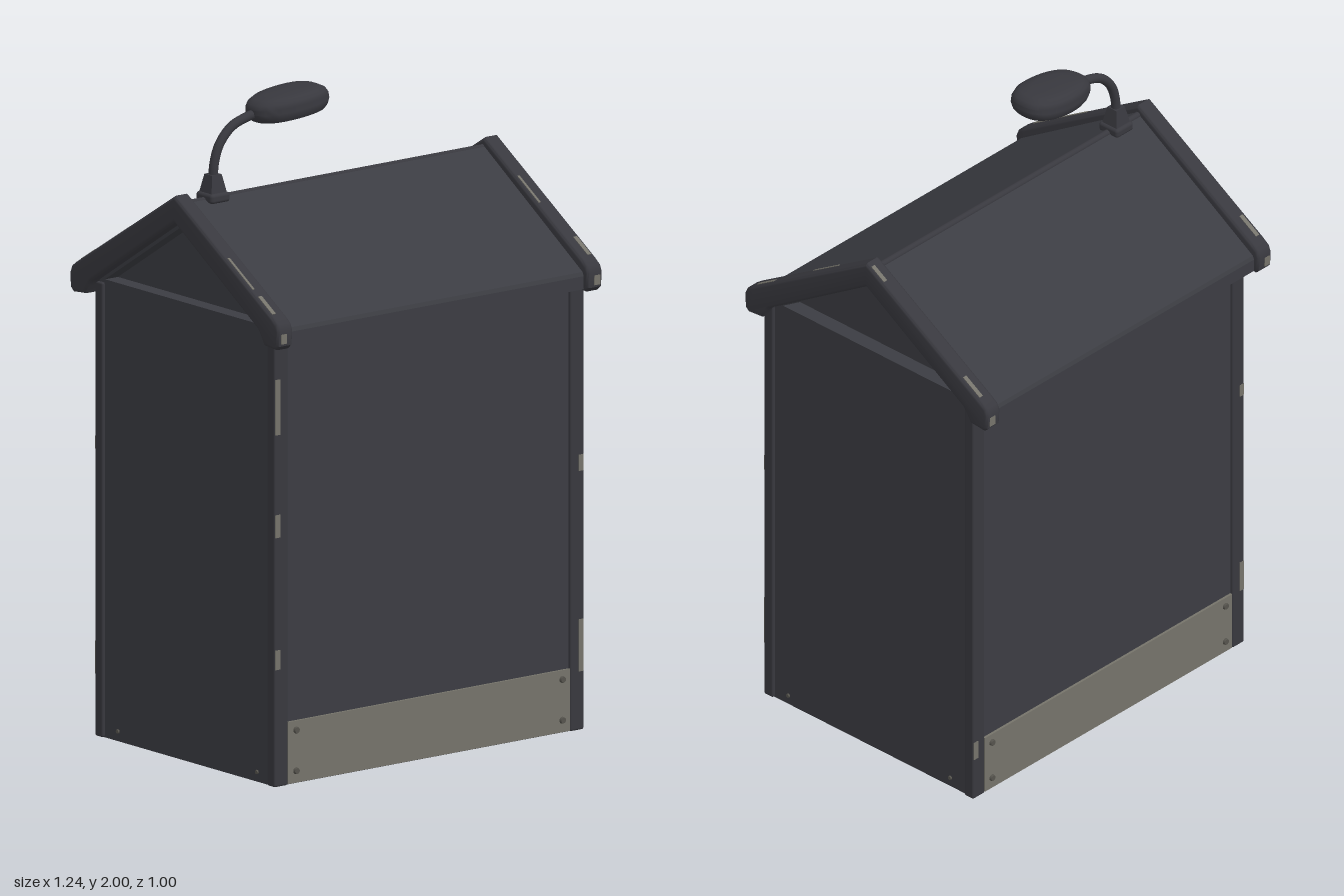
import * as THREE from 'three';
import { toCreasedNormals } from 'three/addons/utils/BufferGeometryUtils.js';
import { RoundedBoxGeometry } from 'three/addons/geometries/RoundedBoxGeometry.js';

const mat = (name, color) => {
  const m = new THREE.MeshStandardMaterial({ color });
  m.name = name;
  return m;
};

export function createModel() {
  const panel = mat('panel charcoal', 0x3b3c42);
  const trim = mat('trim charcoal', 0x38383e);
  const metal = mat('bare metal', 0x75736a);
  const screwMat = mat('screw grey', 0x55534d);
  const lensMat = mat('lamp lens', 0x5c5a53);

  const model = new THREE.Group();
  model.name = 'gabledCabinet';
  const add = (name, geometry, material, x = 0, y = 0, z = 0, parent = model) => {
    const mesh = new THREE.Mesh(geometry, material);
    mesh.name = name;
    mesh.position.set(x, y, z);
    parent.add(mesh);
    return mesh;
  };
  const box = (name, material, x0, x1, y0, y1, z0, z1) =>
    add(name, new THREE.BoxGeometry(x1 - x0, y1 - y0, z1 - z0), material,
      (x0 + x1) / 2, (y0 + y1) / 2, (z0 + z1) / 2);

  // Extrudes a (z, y) outline along x, centred on x = 0
  const alongX = (pts, width, bevel = 0) => {
    const shape = new THREE.Shape(pts.map(([z, y]) => new THREE.Vector2(z, y)));
    const depth = width - 2 * bevel;
    const g = new THREE.ExtrudeGeometry(shape, {
      depth, bevelEnabled: bevel > 0, bevelSize: bevel, bevelThickness: bevel,
      bevelOffset: -bevel, bevelSegments: 3,
    });
    g.translate(0, 0, -depth / 2);
    g.rotateY(-Math.PI / 2);
    return bevel ? toCreasedNormals(g, 0.7) : g;
  };
  // Completes a half outline running from the ridge, round the eave, to the inner apex
  const mirrored = (half) => [
    ...half,
    ...half.slice(1, -1).reverse().map(([z, y]) => [-z, y]),
  ];
  const chevron = (half) => {
    const inner = half[half.length - 1];
    const side = half.slice(1, -1);
    return [half[0], ...side, inner, ...side.slice().reverse().map(([z, y]) => [-z, y])];
  };

  // Cabinet body and corner posts
  const zf = 0.443, zb = -0.411;
  box('body', panel, -0.584, 0.584, 0, 1.405, zb + 0.009, zf - 0.009);
  for (const s of [-1, 1]) {
    for (const [z0, z1] of [[zf - 0.037, zf], [zb, zb + 0.037]]) {
      add('cornerPost', new RoundedBoxGeometry(0.052, 1.395, 0.037, 2, 0.006), trim,
        s * 0.567, 0.6975, (z0 + z1) / 2);
    }
  }

  // Kick plates with screws on front and back
  for (const [face, dir] of [[zf - 0.009, 1], [zb + 0.009, -1]]) {
    add('kickPlate', new THREE.BoxGeometry(1.08, 0.19, 0.008), metal, 0, 0.098, face + dir * 0.004);
    for (const x of [-0.51, 0.51]) for (const y of [0.04, 0.165]) {
      const screw = add('plateScrew', new THREE.CylinderGeometry(0.009, 0.011, 0.008, 12), screwMat,
        x, y, face + dir * 0.011);
      screw.rotation.x = dir * Math.PI / 2;
    }
  }
  // Small screws low on the sides
  for (const s of [-1, 1]) for (const z of [-0.31, 0.35]) {
    const screw = add('sideScrew', new THREE.CylinderGeometry(0.006, 0.007, 0.006, 10), screwMat,
      s * 0.586, 0.03, z);
    screw.rotation.z = -s * Math.PI / 2;
  }

  // Recessed gable infill, roof and ridge
  add('gableInfill', alongX([[0, 1.65], [-0.40, 1.39], [0.40, 1.39]], 1.07), panel);
  add('roof', alongX(chevron([[0, 1.713], [0.472, 1.412], [0.477, 1.4], [0.477, 1.36],
    [0.43, 1.36], [0.42, 1.375], [0, 1.64]]), 1.17), panel);
  const ridge = add('ridgeStrip', new THREE.CylinderGeometry(0.011, 0.011, 1.14, 12), trim, 0, 1.704, -0.003);
  ridge.rotation.z = Math.PI / 2;

  // Rounded bargeboards at both gable ends
  const barge = alongX(chevron([[0, 1.736], [0.465, 1.449], [0.488, 1.432], [0.497, 1.41],
    [0.494, 1.365], [0.48, 1.352], [0.425, 1.357], [0.408, 1.385], [0.395, 1.402], [0, 1.653]]), 0.058, 0.01);
  for (const s of [-1, 1]) add('bargeboard', barge, trim, s * 0.593);

  // Worn paint on bargeboard tips, tops and edges
  const slope = Math.atan2(0.287, 0.465);
  const chips = new THREE.Group();
  chips.name = 'wornPaint';
  model.add(chips);
  const chip = (x, y, z, w, h, d, tilt = 0) => {
    add('paintChip', new THREE.BoxGeometry(w, h, d), metal, x, y, z, chips).rotation.x = tilt;
  };
  const slopeChip = (x, t, w, length, side) =>
    chip(x, 1.736 - 0.617 * t, side * t, w, 0.003, length, side * slope);
  for (const s of [-1, 1]) for (const d of [-1, 1]) {
    chip(s * 0.6, 1.387, d * 0.4955, 0.022, 0.03, 0.004);
    slopeChip(s * 0.604, 0.42, 0.014, 0.08, d);
  }
  slopeChip(-0.606, 0.3, 0.008, 0.14, 1);
  slopeChip(0.578, 0.2, 0.008, 0.12, 1);
  slopeChip(0.606, 0.04, 0.014, 0.06, -1);
  // Worn paint on the posts: x side, centre height, length, face
  for (const [s, y, h, z] of [[-1, 1.165, 0.17, zf], [-1, 0.8, 0.07, zf], [-1, 0.39, 0.06, zf],
    [1, 0.82, 0.05, zf], [1, 0.26, 0.16, zf], [-1, 0.9, 0.04, zb], [-1, 0.24, 0.1, zb], [1, 0.17, 0.06, zb]]) {
    chip(s * 0.581, y, z, 0.018, h, 0.003);
  }

  // Lamp foot and gooseneck
  const lamp = new THREE.Group();
  lamp.name = 'lamp';
  lamp.position.z = -0.004;
  model.add(lamp);
  add('lampFoot', new RoundedBoxGeometry(0.074, 0.03, 0.078, 3, 0.01), trim, -0.468, 1.712, 0, lamp);
  const collar = new THREE.CylinderGeometry(0.026, 0.043, 0.06, 4, 1);
  collar.rotateY(Math.PI / 4);
  add('lampCollar', toCreasedNormals(collar, 0.5), trim, -0.468, 1.75, 0, lamp);
  const path = new THREE.CatmullRomCurve3([[-0.468, 1.76], [-0.464, 1.81], [-0.445, 1.865],
    [-0.4, 1.913], [-0.34, 1.935], [-0.27, 1.945]].map(([x, y]) => new THREE.Vector3(x, y, 0)));
  add('lampNeck', new THREE.TubeGeometry(path, 28, 0.0145, 12), trim, 0, 0, 0, lamp);

  // Lamp head: a turned profile reshaped into a rounded oblong, narrower at the neck
  const oblong = (profile, segments = 40) => {
    const g = new THREE.LatheGeometry(profile.map(([r, y]) => new THREE.Vector2(r, y)), segments);
    const p = g.attributes.position;
    for (let i = 0; i < p.count; i++) {
      const x = p.getX(i), z = p.getZ(i), r = Math.hypot(x, z);
      if (r < 1e-6) continue;
      const c = Math.abs(x / r), s = Math.abs(z / r);
      const k = Math.pow(c ** 2.6 + s ** 2.6, -1 / 2.6);
      const nx = x * k;
      p.setX(i, nx * 0.137);
      p.setZ(i, z * k * 0.088 * (1 - 0.14 * Math.max(0, -nx)));
    }
    g.computeVertexNormals();
    return toCreasedNormals(g, 0.8);
  };
  const head = new THREE.Group();
  head.name = 'lampHead';
  head.position.set(-0.186, 1.957, 0);
  head.rotation.z = 0.1;
  lamp.add(head);
  add('lampShade', oblong([[0.0, -0.022], [0.8, -0.022], [0.82, -0.032], [0.88, -0.032], [0.95, -0.022],
    [1, -0.004], [0.99, 0.01], [0.93, 0.024], [0.8, 0.034], [0.5, 0.038], [0, 0.039]]), trim, 0, 0, 0, head);
  add('lampLens', oblong([[0, -0.027], [0.78, -0.026], [0.8, -0.021]]), lensMat, 0, 0, 0, head);

  return model;
}
